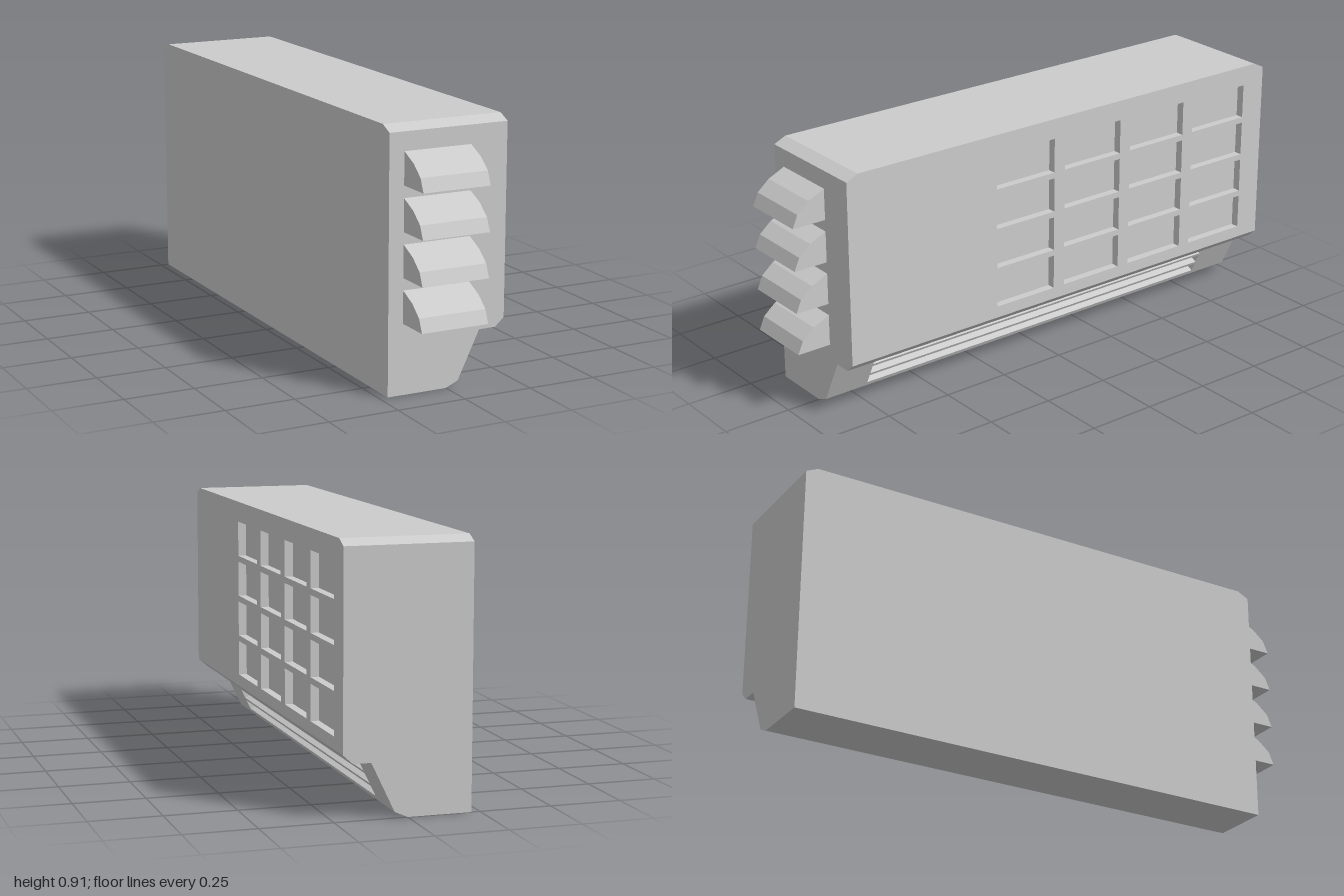
import * as THREE from 'three';
import { mergeGeometries } from 'three/addons/utils/BufferGeometryUtils.js';

const V = (x, y, z) => new THREE.Vector3(x, y, z);
const material = new THREE.MeshStandardMaterial({ color: 0xcccccc, flatShading: true });

const LEFT = -0.22, RIGHT = 0.22, FRONT = 0.873, BACK = -1;
const SHOULDER = 0.887, TOP = 0.908;

const rect = (x0, y0, x1, y1) => [[x0, y0], [x1, y0], [x1, y1], [x0, y1]];
const toVectors = (pts) => pts.map(([x, y]) => new THREE.Vector2(x, y));

// Quad from four corners in anticlockwise order
function quad(a, b, c, d) {
  const g = new THREE.BufferGeometry().setFromPoints([a, b, c, a, c, d]);
  g.computeVertexNormals();
  return g;
}

// Flat face lying in the plane (origin, u, v), with rectangular pockets sunk into it
function panel(origin, u, v, outline, pockets = [], depth = 0) {
  const shape = new THREE.Shape(toVectors(outline));
  pockets.forEach((p) => shape.holes.push(new THREE.Path(toVectors(p))));
  const face = new THREE.ShapeGeometry(shape).toNonIndexed();
  face.deleteAttribute('uv');
  const parts = [face];
  for (const p of pockets) {
    const rim = p.map(([x, y]) => V(x, y, 0));
    const floor = p.map(([x, y]) => V(x, y, -depth));
    parts.push(quad(...floor));
    for (let i = 0; i < 4; i++) {
      const j = (i + 1) % 4;
      parts.push(quad(rim[i], rim[j], floor[j], floor[i]));
    }
  }
  const n = u.clone().cross(v);
  const m = new THREE.Matrix4().makeBasis(u, v, n).setPosition(origin);
  return mergeGeometries(parts).applyMatrix4(m);
}

function addMesh(parent, name, geometry) {
  const mesh = new THREE.Mesh(geometry, material);
  mesh.name = name;
  parent.add(mesh);
  return mesh;
}

export function createModel() {
  const model = new THREE.Group();
  model.name = 'ventilatedHousing';
  const X = V(1, 0, 0), Y = V(0, 1, 0), Z = V(0, 0, 1);
  const minusX = V(-1, 0, 0), minusZ = V(0, 0, -1), O = V(0, 0, 0);

  // Underside cross-section, from the plain side to the window side
  const under = [[LEFT, 0], [0, 0], [0.045, 0.02], [0.125, 0.187], [0.187, 0.187], [RIGHT, 0.217]];

  // End walls
  const end = [...under, [RIGHT, SHOULDER], [LEFT, SHOULDER]];
  addMesh(model, 'frontWall', panel(V(0, 0, FRONT), X, Y, end));
  addMesh(model, 'backWall', panel(V(0, 0, BACK), minusX, Y, end.map(([x, y]) => [-x, y]).reverse()));

  // Plain side wall
  const roof = [[FRONT, SHOULDER], [0.828, TOP], [-0.955, TOP], [BACK, SHOULDER]];
  addMesh(model, 'plainSide', panel(V(LEFT, 0, 0), Z, Y, [[BACK, 0], [FRONT, 0], ...roof]));

  // Side wall with a four by four grid of recessed windows
  const windows = [];
  for (let row = 0; row < 4; row++) {
    for (let col = 0; col < 4; col++) {
      const s = -0.257 + col * 0.302, y = 0.26 + row * 0.149;
      windows.push(rect(s, y, s + 0.255, y + 0.127));
    }
  }
  const sideOutline = [[-FRONT, 0.217], [-BACK, 0.217], ...roof.map(([z, y]) => [-z, y]).reverse()];
  addMesh(model, 'windowSide', panel(V(RIGHT, 0, 0), minusZ, Y, sideOutline, windows, 0.03));

  // Roof and its chamfered ends
  for (let i = 0; i < 3; i++) {
    const a = V(0, roof[i][1], roof[i][0]), b = V(0, roof[i + 1][1], roof[i + 1][0]);
    const dir = b.clone().sub(a).normalize();
    const name = ['roofFrontChamfer', 'roof', 'roofBackChamfer'][i];
    addMesh(model, name, panel(a, X, dir, rect(LEFT, 0, RIGHT, a.distanceTo(b))));
  }

  // Underside strips; the steep one carries three long slots
  const names = ['base', 'baseChamfer', 'slottedSkirt', 'ledge', 'ledgeChamfer'];
  names.forEach((name, i) => {
    const a = V(...under[i], 0), b = V(...under[i + 1], 0);
    const dir = b.clone().sub(a).normalize();
    const slots = name !== 'slottedSkirt' ? [] : [0.035, 0.079, 0.123].map((y) =>
      rect(-0.705, (y - a.y) / dir.y, 0.83, (y + 0.034 - a.y) / dir.y));
    addMesh(model, name, panel(a, minusZ, dir, rect(-FRONT, 0, -BACK, a.distanceTo(b)), slots, 0.025));
  });

  // Faceted hoods over the front vents
  const hoodShape = new THREE.Shape(toVectors([
    [FRONT, 0], [1, 0], [0.98, 0.046], [0.935, 0.084], [FRONT, 0.113],
  ]));
  const hoodGeometry = new THREE.ExtrudeGeometry(hoodShape, { depth: 0.248, bevelEnabled: false });
  hoodGeometry.rotateY(-Math.PI / 2); // profile now runs along z, width along -x
  const hoods = new THREE.Group();
  hoods.name = 'frontHoods';
  for (let i = 0; i < 4; i++) {
    addMesh(hoods, 'hood' + (i + 1), hoodGeometry).position.set(0.083, 0.245 + i * 0.1547, 0);
  }
  model.add(hoods);
  return model;
}
